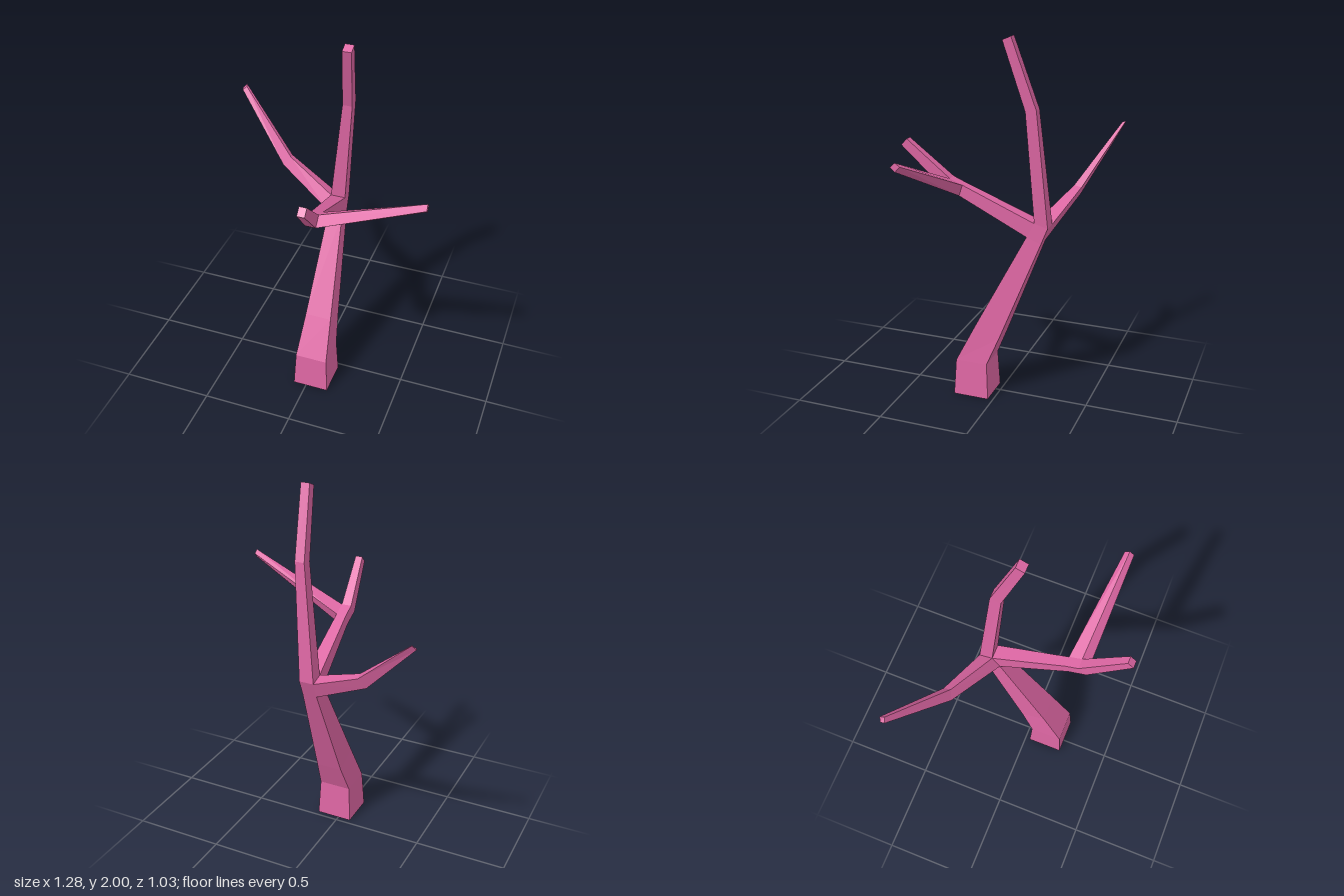
import * as THREE from 'three';

const bark = new THREE.MeshStandardMaterial({ color: 0xdd66a3, flatShading: true });

// Skins a chain of four-cornered rings (counter-clockwise seen from the tip) and caps the ends
function limb(name, rings) {
  const pos = [];
  const quad = (a, b, c, d) => pos.push(...a, ...b, ...c, ...a, ...c, ...d);
  for (let r = 0; r < rings.length - 1; r++) {
    const p = rings[r], q = rings[r + 1];
    for (let i = 0; i < 4; i++) {
      const j = (i + 1) % 4;
      quad(p[i], p[j], q[j], q[i]);
    }
  }
  quad(...rings[0].slice().reverse());
  quad(...rings[rings.length - 1]);
  const geo = new THREE.BufferGeometry();
  geo.setAttribute('position', new THREE.Float32BufferAttribute(pos, 3));
  geo.computeVertexNormals();
  const mesh = new THREE.Mesh(geo, bark);
  mesh.name = name;
  return mesh;
}

// Ring spanning x0..x1, with [y, z] for its front edge and its back edge
const tier = (x0, x1, [yf, zf], [yb, zb]) =>
  [[x0, yf, zf], [x1, yf, zf], [x1, yb, zb], [x0, yb, zb]];

export function createModel() {
  const tree = new THREE.Group();
  tree.name = 'bareTree';

  // Trunk: flared foot, backward lean, fork block, then the upright leader
  const forkLow = tier(-0.01, 0.07, [0.96, -0.17], [0.93, -0.25]);
  const forkHigh = tier(-0.01, 0.07, [1.04, -0.212], [1.02, -0.285]);
  tree.add(limb('trunk', [
    tier(-0.073, 0.127, [0, 0.228], [0, 0.028]),
    tier(-0.062, 0.117, [0.207, 0.217], [0.207, 0.038]),
    tier(-0.043, 0.103, [0.43, 0.105], [0.37, -0.03]),
    forkLow,
    forkHigh,
    tier(0.06, 0.112, [1.63, -0.172], [1.64, -0.23]),
    tier(0.09, 0.138, [1.98, -0.06], [2.0, -0.105]),
  ]));

  // Front branch grows from the front face of the fork and bends upward
  tree.add(limb('frontBranch', [
    [forkLow[0], forkLow[1], forkHigh[1], forkHigh[0]],
    tier(0.03, 0.085, [1.15, 0.2], [1.21, 0.18]),
    tier(0.032, 0.087, [1.19, 0.295], [1.24, 0.25]),
    tier(0.073, 0.113, [1.405, 0.513], [1.44, 0.48]),
  ]));

  // Left twig leaves the bend of the front branch
  tree.add(limb('leftTwig', [
    [[0.087, 1.19, 0.295], [0.085, 1.15, 0.2], [0.085, 1.21, 0.18], [0.087, 1.24, 0.25]],
    [[0.637, 1.435, 0.312], [0.637, 1.415, 0.287], [0.635, 1.442, 0.262], [0.635, 1.46, 0.287]],
  ]));

  // Right branch grows from the side of the fork
  tree.add(limb('rightBranch', [
    [forkLow[3], forkLow[0], forkHigh[0], forkHigh[3]],
    [[-0.33, 1.10, -0.345], [-0.325, 1.11, -0.305], [-0.285, 1.16, -0.32], [-0.29, 1.15, -0.36]],
    [[-0.64, 1.44, -0.505], [-0.635, 1.435, -0.485], [-0.613, 1.453, -0.495], [-0.62, 1.46, -0.515]],
  ]));

  return tree;
}
